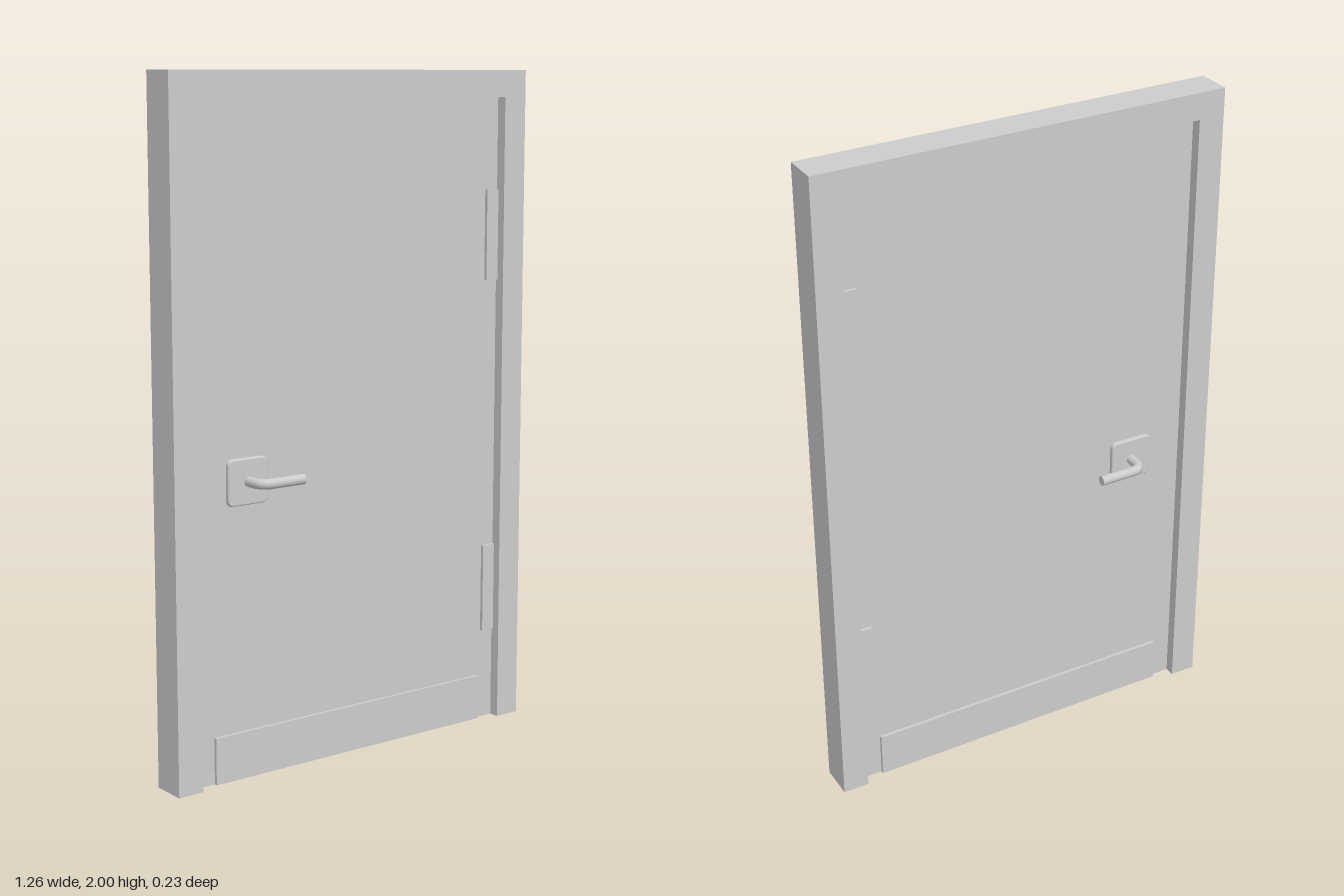
import * as THREE from 'three';

const W = 0.63, H = 2, D = 0.054;         // frame half width, height, half depth
const OPEN_X = 0.55, OPEN_Y = 1.92;       // opening half width and height
const LEAF = 0.022;                       // leaf half thickness

export function createModel() {
  const door = new THREE.Group();
  door.name = 'door';
  const mat = new THREE.MeshStandardMaterial({ color: 0xcccccc });

  const add = (parent, name, geometry, x = 0, y = 0, z = 0) => {
    const mesh = new THREE.Mesh(geometry, mat);
    mesh.name = name;
    mesh.position.set(x, y, z);
    parent.add(mesh);
    return mesh;
  };
  // Box given by its limits
  const box = (parent, name, x0, x1, y0, y1, z0, z1) =>
    add(parent, name, new THREE.BoxGeometry(x1 - x0, y1 - y0, z1 - z0),
      (x0 + x1) / 2, (y0 + y1) / 2, (z0 + z1) / 2);

  // Frame: two jambs and a head in one outline
  const outline = new THREE.Shape([
    [-W, 0], [-OPEN_X, 0], [-OPEN_X, OPEN_Y], [OPEN_X, OPEN_Y],
    [OPEN_X, 0], [W, 0], [W, H], [-W, H],
  ].map(([x, y]) => new THREE.Vector2(x, y)));
  add(door, 'frame', new THREE.ExtrudeGeometry(outline, { depth: 2 * D, bevelEnabled: false }), 0, 0, -D);

  // Leaf
  box(door, 'leaf', -OPEN_X, OPEN_X, 0, OPEN_Y, -LEAF, LEAF);

  // Kick plates and hinges show on both faces
  const proud = LEAF + 0.01;
  box(door, 'kickPlate', -0.49, 0.49, 0, 0.138, -proud, proud);
  for (const y of [0.28, 1.375]) box(door, 'hinge', 0.503, 0.547, y, y + 0.272, -proud, proud);

  // Rose: square plate with softened corners and edges
  const s = 0.062, r = 0.012;
  const rose = new THREE.Shape();
  rose.moveTo(-s + r, -s);
  for (const [sx, sy, a] of [[1, -1, -0.5], [1, 1, 0], [-1, 1, 0.5], [-1, -1, 1]]) {
    rose.absarc(sx * (s - r), sy * (s - r), r, a * Math.PI, (a + 0.5) * Math.PI, false);
  }
  const roseGeo = new THREE.ExtrudeGeometry(rose, {
    depth: 0.008, bevelThickness: 0.005, bevelSize: 0.005, bevelSegments: 3, curveSegments: 4,
  });

  // Lever: round bar leaving the door and bending towards the hinges
  const path = new THREE.CurvePath();
  const v = (x, z) => new THREE.Vector3(x, 0, z);
  path.add(new THREE.LineCurve3(v(0, 0), v(0.001, 0.062)));
  path.add(new THREE.QuadraticBezierCurve3(v(0.001, 0.062), v(0.004, 0.098), v(0.035, 0.0985)));
  path.add(new THREE.LineCurve3(v(0.035, 0.0985), v(0.144, 0.0985)));
  const leverGeo = new THREE.TubeGeometry(path, 28, 0.015, 16);
  const capGeo = new THREE.CircleGeometry(0.015, 16).rotateY(Math.PI / 2);

  for (const side of [1, -1]) {
    const handle = new THREE.Group();
    handle.name = side > 0 ? 'frontHandle' : 'backHandle';
    handle.position.set(-0.374, 0.866, 0);
    // A half turn about x carries the handle to the back face
    if (side < 0) handle.rotation.x = Math.PI;
    add(handle, 'rose', roseGeo, 0, 0, LEAF);
    add(handle, 'lever', leverGeo);
    add(handle, 'leverEnd', capGeo, 0.144, 0, 0.0985);
    door.add(handle);
  }
  return door;
}
